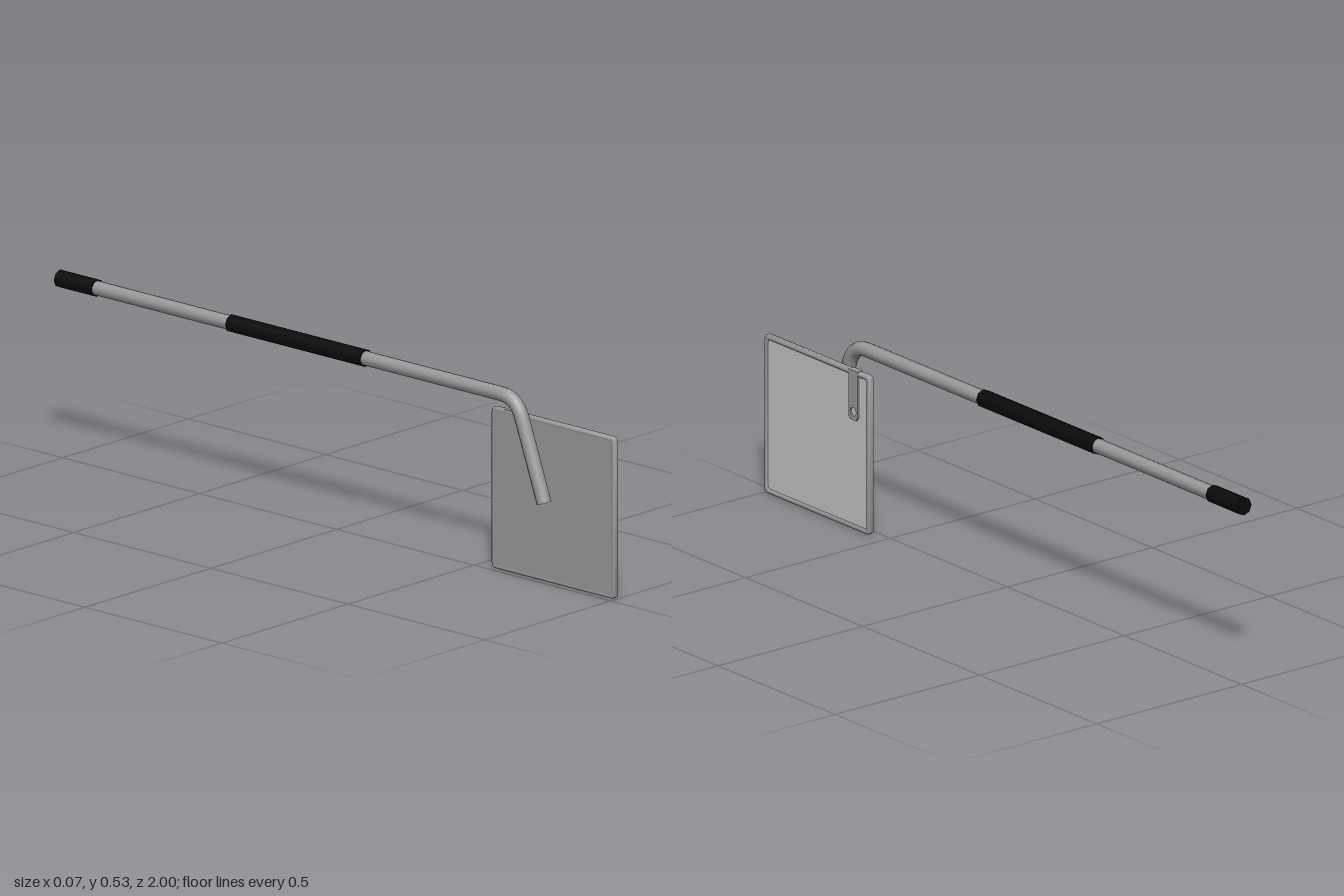
import * as THREE from 'three';
import { toCreasedNormals } from 'three/addons/utils/BufferGeometryUtils.js';

const makeMaterial = (name, color) => {
  const m = new THREE.MeshStandardMaterial({ color });
  m.name = name;
  return m;
};

// Square outline with rounded corners, centred on the origin
function roundedRect(Type, w, h, r) {
  const s = new Type(), x = w / 2 - r, y = h / 2 - r;
  s.absarc(x, y, r, 0, Math.PI / 2);
  s.absarc(-x, y, r, Math.PI / 2, Math.PI);
  s.absarc(-x, -y, r, Math.PI, Math.PI * 1.5);
  s.absarc(x, -y, r, Math.PI * 1.5, Math.PI * 2);
  s.closePath();
  return s;
}

// Extrude a shape towards +x, from x0 to x1
function plate(shape, x0, x1, bevel = 0) {
  const g = new THREE.ExtrudeGeometry(shape, {
    depth: x1 - x0 - 2 * bevel, curveSegments: 4, bevelEnabled: bevel > 0,
    bevelSize: bevel, bevelOffset: -bevel, bevelThickness: bevel, bevelSegments: 3,
  });
  g.translate(0, 0, x0 + bevel).rotateY(Math.PI / 2);
  return toCreasedNormals(g, 0.7);
}

export function createModel() {
  const steel = makeMaterial('steel', 0x9a9a9a);
  const glass = makeMaterial('mirrorFace', 0xc8c8c8);
  const rubber = makeMaterial('blackRubber', 0x0a0a0a);

  const model = new THREE.Group();
  model.name = 'handheldMirror';
  const add = (name, geometry, material, parent = model) => {
    const mesh = new THREE.Mesh(geometry, material);
    mesh.name = name;
    parent.add(mesh);
    return mesh;
  };

  // Bent tubular handle
  const rodX = -0.01, rodY = 0.505, rodR = 0.0205;
  const p = (y, z) => new THREE.Vector3(rodX, y, z);
  const bendStart = p(rodY, 0.61), bendEnd = p(0.452, 0.685), tip = p(0.229, 0.766);
  const path = new THREE.CurvePath();
  path.add(new THREE.LineCurve3(p(rodY, -0.99), bendStart));
  path.add(new THREE.QuadraticBezierCurve3(bendStart, p(rodY, 0.666), bendEnd));
  path.add(new THREE.LineCurve3(bendEnd, tip));
  add('handleTube', new THREE.TubeGeometry(path, 110, rodR, 10), steel);

  const cap = add('handleTipCap', new THREE.CircleGeometry(rodR, 10), steel);
  cap.position.copy(tip);
  cap.lookAt(tip.clone().add(tip.clone().sub(bendEnd)));

  // Rubber sleeves on the handle
  for (const [name, z0, z1] of [['middleGrip', -0.375, 0.115], ['endGrip', -1, -0.865]]) {
    const g = new THREE.CylinderGeometry(0.025, 0.025, z1 - z0, 8).rotateX(Math.PI / 2);
    add(name, g, rubber).position.set(rodX, rodY, (z0 + z1) / 2);
  }

  // Square mirror head: rim, backing and face
  const head = new THREE.Group();
  head.name = 'mirrorHead';
  head.position.set(0, 0.2265, 0.775);
  model.add(head);
  const rim = roundedRect(THREE.Shape, 0.45, 0.453, 0.014);
  rim.holes.push(roundedRect(THREE.Path, 0.422, 0.425, 0.008));
  add('rim', plate(rim, 0.014, 0.033, 0.005), steel, head);
  add('backing', plate(roundedRect(THREE.Shape, 0.434, 0.437, 0.01), 0.0142, 0.02), steel, head);
  add('mirrorFace', plate(roundedRect(THREE.Shape, 0.434, 0.437, 0.01), 0.02, 0.0285), glass, head);

  // Retaining clip with a round hole, folded over the top edge
  const clip = new THREE.Shape();
  clip.moveTo(0.019, 0.07);
  clip.lineTo(-0.019, 0.07);
  clip.lineTo(-0.019, -0.062);
  clip.lineTo(-0.012, -0.07);
  clip.lineTo(0.012, -0.07);
  clip.lineTo(0.019, -0.062);
  clip.closePath();
  const hole = new THREE.Path();
  hole.absarc(0, -0.047, 0.013, 0, Math.PI * 2, true);
  clip.holes.push(hole);
  const clipMesh = add('clip', plate(clip, 0.0285, 0.0335), steel, head);
  clipMesh.position.set(0, 0.156, -0.157);
  const fold = add('clipFold', new THREE.BoxGeometry(0.0195, 0.004, 0.038), steel, head);
  fold.position.set(0.0237, 0.2255, -0.157);

  return model;
}
